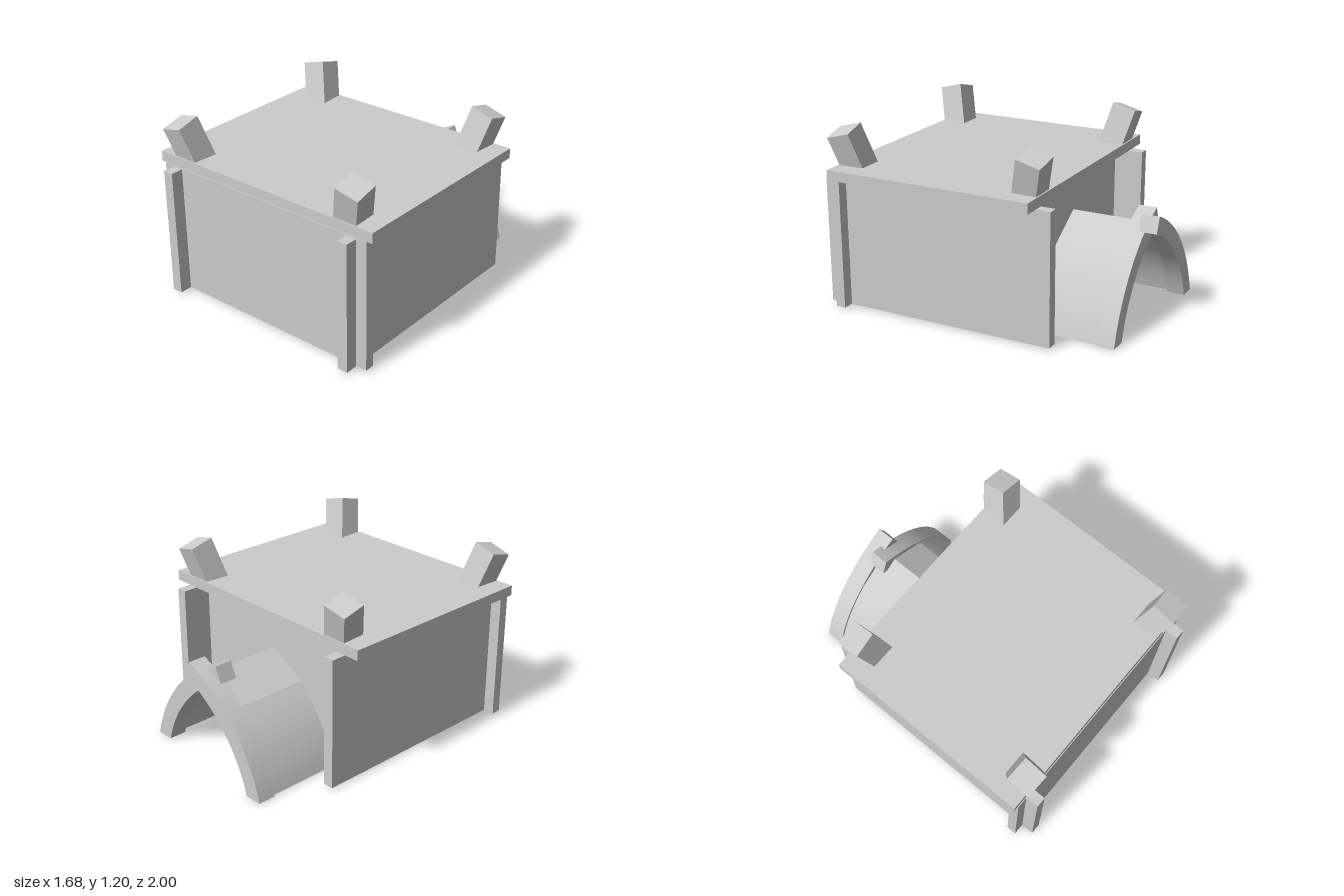
import * as THREE from 'three';
import { toCreasedNormals } from 'three/addons/utils/BufferGeometryUtils.js';

export function createModel() {
  const model = new THREE.Group();
  model.name = 'hut';
  const grey = new THREE.MeshStandardMaterial({ color: 0xcccccc });

  const add = (name, geometry) => {
    const mesh = new THREE.Mesh(geometry, grey);
    mesh.name = name;
    model.add(mesh);
    return mesh;
  };

  // Box given by its extents on each axis
  const slab = (name, [x0, x1], [y0, y1], [z0, z1]) =>
    add(name, new THREE.BoxGeometry(x1 - x0, y1 - y0, z1 - z0))
      .position.set((x0 + x1) / 2, (y0 + y1) / 2, (z0 + z1) / 2);

  // Interlocking wall panels, open underneath, and the roof slab
  slab('leftWall', [0.66, 0.73], [0.01, 0.868], [-0.58, 1]);
  slab('rightWall', [-0.73, -0.66], [0.01, 0.868], [-0.58, 1]);
  slab('frontWall', [-0.805, 0.805], [0.012, 0.873], [0.85, 0.915]);
  slab('backWall', [-0.67, 0.67], [0.012, 0.866], [-0.385, -0.32]);
  slab('roof', [-0.84, 0.84], [0.873, 0.94], [-0.49, 0.91]);

  // Four stub posts leaning outwards from the roof corners
  const tilt = 0.255, postLength = 0.28;
  for (const sx of [1, -1]) {
    for (const sz of [1, -1]) {
      const post = add(sz > 0 ? 'frontPost' : 'backPost',
        new THREE.BoxGeometry(0.162, postLength, 0.162));
      post.rotation.set(sz * tilt, 0, -sx * tilt);
      const axis = new THREE.Vector3(0, 1, 0).applyEuler(post.rotation);
      post.position.set(sx * 0.69, 1.163, sz > 0 ? 0.875 : -0.455)
        .addScaledVector(axis, -postLength / 2);
    }
  }

  // Each half of the pointed arch follows a circle centred past the middle line
  const cx = -0.474, cy = -0.274;
  const arc = (radius, endAngle, segments) => {
    const start = Math.asin(-cy / radius);
    return Array.from({ length: segments + 1 }, (_, i) => {
      const a = start + (endAngle - start) * i / segments;
      return new THREE.Vector2(cx + radius * Math.cos(a), cy + radius * Math.sin(a));
    });
  };
  const halfArch = (name, side, outer, inner, z0, z1) => {
    const points = [...outer, ...inner.reverse()].map(p => new THREE.Vector2(side * p.x, p.y));
    const geometry = new THREE.ExtrudeGeometry(new THREE.Shape(points),
      { depth: z1 - z0, bevelEnabled: false });
    geometry.translate(0, 0, z0);
    add(name, toCreasedNormals(geometry, 0.13));
  };

  const rimEnd = THREE.MathUtils.degToRad(68);
  const bend = THREE.MathUtils.degToRad(46.5);
  for (const side of [1, -1]) {
    const back = side > 0 ? -0.92 : -1;
    // Tunnel shell: curved flank, then a flat slope up to the ridge
    halfArch('tunnelShell', side,
      [...arc(1.045, bend, 7), new THREE.Vector2(0, 0.635)],
      [...arc(0.985, bend, 7), new THREE.Vector2(0, 0.575)],
      -0.82 + (side > 0 ? 0 : -0.08), -0.295);
    // Thicker rim whose tip crosses over the other half
    halfArch('archRim', side, arc(1.06, rimEnd, 14), arc(0.948, rimEnd, 14), back, back + 0.118);
  }
  return model;
}
